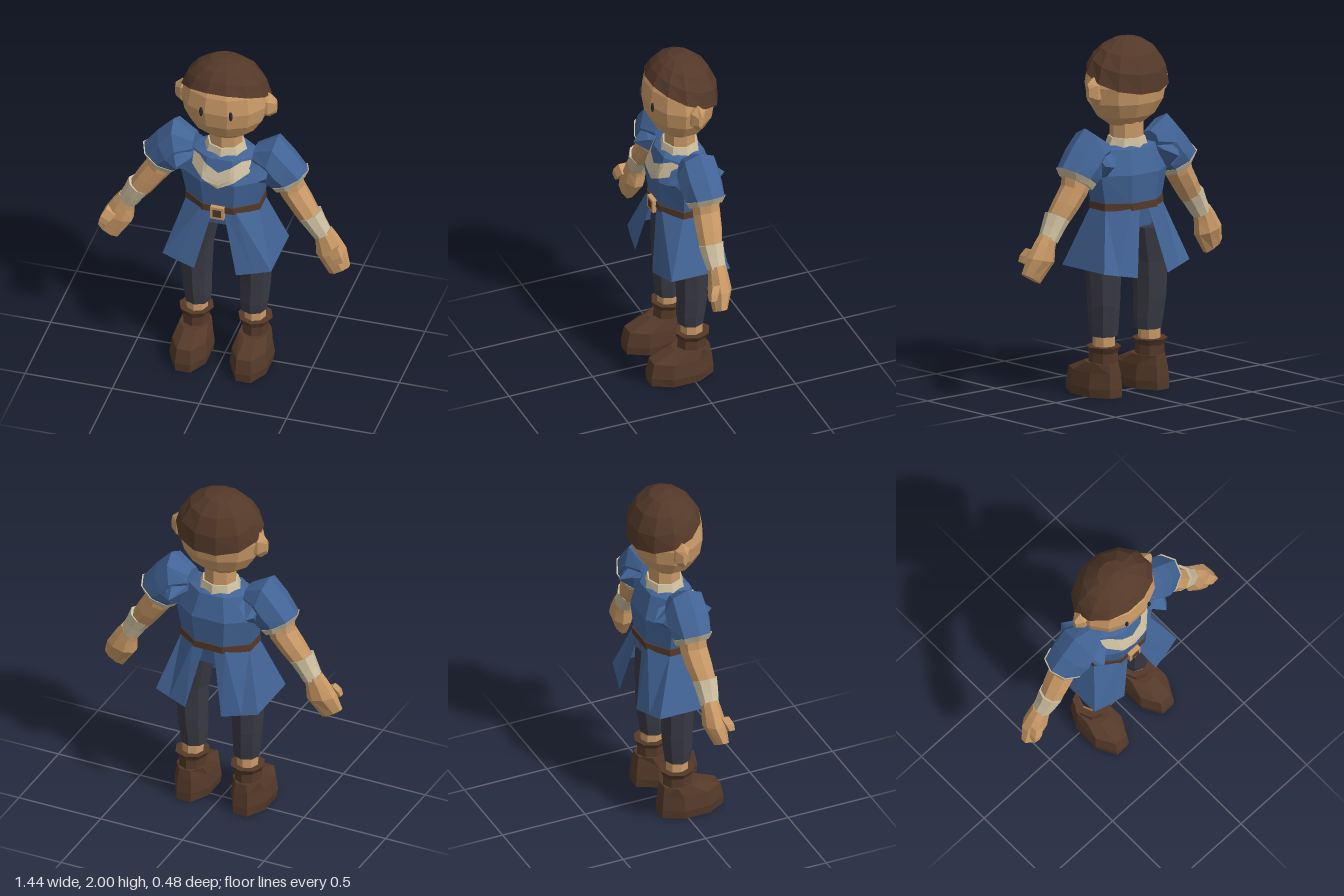
import * as THREE from 'three';

const mat = (name, color, extra = {}) => Object.assign(new THREE.MeshStandardMaterial({ color, ...extra }), { name });

// Faceted surface through rows of points; closed surfaces are wrapped, capped and turned outwards
function surface(rows, closed = true) {
  const tris = [];
  const n = rows[0].length;
  for (let r = 0; r < rows.length - 1; r++) {
    for (let i = 0; i < (closed ? n : n - 1); i++) {
      const j = (i + 1) % n;
      const [a, b, c, d] = [rows[r][i], rows[r][j], rows[r + 1][j], rows[r + 1][i]];
      tris.push([a, b, c], [a, c, d]);
    }
  }
  if (closed) {
    [rows[0], rows[rows.length - 1]].forEach((row, end) => {
      const mid = row.reduce((s, p) => s.add(p), new THREE.Vector3()).divideScalar(n);
      row.forEach((p, i) => {
        const q = row[(i + 1) % n];
        tris.push(end ? [mid, p, q] : [mid, q, p]);
      });
    });
    const o = rows[0][0];
    const volume = tris.reduce((s, [a, b, c]) =>
      s + a.clone().sub(o).dot(b.clone().sub(o).cross(c.clone().sub(o))), 0);
    if (volume < 0) tris.forEach((t) => t.reverse());
  }
  const geo = new THREE.BufferGeometry().setFromPoints(tris.flat());
  geo.computeVertexNormals();
  return geo;
}

// Ring = [outer x, outer y, inner x, inner y, centre z, half depth]; half = flat side to the front
function loft(rings, { n = 8, half = false, side = 1 } = {}) {
  const k = half ? 1 / Math.cos(Math.PI / n) : 1;
  return surface(rings.map(([ax, ay, bx, by, z, d]) =>
    Array.from({ length: n }, (_, i) => {
      const t = ((i + (half ? 0.5 : 0)) / n) * Math.PI * 2;
      const u = (Math.cos(t) * k) / 2;
      return new THREE.Vector3(
        side * ((ax + bx) / 2 + u * (ax - bx)), (ay + by) / 2 + u * (ay - by), z + Math.sin(t) * k * d);
    })));
}

// Level ring from x and z extents
const level = (y, x0, x1, z0, z1) => [x1, y, x0, y, (z0 + z1) / 2, (z1 - z0) / 2];

export function createModel() {
  const model = new THREE.Group();
  model.name = 'tunicFigure';
  const blue = mat('tunicBlue', 0x426496, { side: THREE.DoubleSide });
  const skin = mat('skin', 0xc99966);
  const brown = mat('leatherBrown', 0x543929);
  const cream = mat('creamCloth', 0xcdbf9f, { side: THREE.DoubleSide });
  const dark = mat('trouserGrey', 0x393943);
  const ink = mat('eyeDark', 0x252a35);

  const add = (name, geo, material) => {
    const mesh = new THREE.Mesh(geo, material);
    mesh.name = name;
    model.add(mesh);
    return mesh;
  };
  const pair = (name, rings, material, opts = {}) => {
    add('left' + name, loft(rings, opts), material);
    add('right' + name, loft(rings, { ...opts, side: -1 }), material);
  };

  // Head
  const headRings = [];
  for (let i = 0; i <= 8; i++) {
    const t = 0.03 + (i / 8) * (Math.PI - 0.06);
    const r = Math.sin(t);
    const y = 1.74 + 0.252 * Math.cos(t);
    headRings.push([0.24 * r, y, -0.24 * r, y, -0.01, 0.193 * r]);
  }
  add('head', loft(headRings, { n: 12, half: true }), skin);

  // Cropped hair: a dome whose rim drops towards the back
  const hairRows = [];
  for (let k = 0; k <= 4; k++) {
    hairRows.push(Array.from({ length: 12 }, (_, i) => {
      const az = ((i + 0.5) / 12) * Math.PI * 2;
      const t = (1.38 - 0.325 * Math.cos(az)) * Math.max(k / 4, 0.01);
      const r = Math.sin(t) / Math.cos(Math.PI / 12);
      return new THREE.Vector3(0.25 * r * Math.sin(az), 1.74 + 0.26 * Math.cos(t), -0.015 + 0.206 * r * Math.cos(az));
    }));
  }
  add('hair', surface(hairRows), brown);

  // Ears and eyes
  pair('Ear', [
    [0.22, 1.8, 0.22, 1.64, -0.025, 0.048],
    [0.25, 1.8, 0.25, 1.64, -0.025, 0.048],
    [0.29, 1.765, 0.29, 1.675, -0.025, 0.014],
  ], skin, { n: 6 });
  for (const s of [1, -1]) {
    const eye = add(s > 0 ? 'leftEye' : 'rightEye', new THREE.SphereGeometry(1, 8, 6), ink);
    eye.scale.set(0.011, 0.031, 0.008);
    eye.position.set(s * 0.085, 1.745, 0.179);
  }

  // Neck and collar
  add('neck', loft([level(1.38, -0.095, 0.095, -0.11, 0.07), level(1.53, -0.095, 0.095, -0.11, 0.07)]), skin);
  add('collar', loft([level(1.365, -0.135, 0.135, -0.135, 0.1), level(1.44, -0.105, 0.105, -0.12, 0.08)]), cream);

  // Torso
  const torso = [
    level(1.07, -0.205, 0.205, -0.165, 0.13),
    level(1.25, -0.24, 0.24, -0.18, 0.15),
    level(1.385, -0.17, 0.17, -0.135, 0.105),
    level(1.4, -0.11, 0.11, -0.11, 0.08),
  ];
  add('torso', loft(torso, { half: true }), blue);
  add('hips', loft([level(0.945, -0.16, 0.16, -0.14, 0.1), level(1.08, -0.2, 0.2, -0.16, 0.12)], { half: true }), blue);

  // Chevron laid on the chest
  const chestZ = (x, y) => {
    const [p, q] = y < 1.25 ? [torso[0], torso[1]] : [torso[1], torso[2]];
    const f = (y - p[1]) / (q[1] - p[1]);
    const at = (i) => p[i] + (q[i] - p[i]) * f;
    return at(4) + at(5) - Math.max(0, Math.abs(x) - 0.414 * at(0)) * (at(5) / at(0)) + 0.007;
  };
  const columns = [-0.165, -0.12, -0.09, -0.07, 0, 0.07, 0.09, 0.12, 0.165];
  add('chestChevron', surface([0, 1, 2, 3, 4].map((r) => columns.map((x) => {
    const low = 1.22 + Math.abs(x) * 0.56;
    const high = Math.min(1.378, 1.315 + Math.abs(x) * 0.53);
    const y = low + ((high - low) * r) / 4;
    return new THREE.Vector3(x, y, chestZ(x, y));
  })), false), cream);

  // Belt with square buckle
  add('belt', loft([level(1.05, -0.215, 0.215, -0.175, 0.14), level(1.09, -0.213, 0.213, -0.174, 0.139)], { half: true }), brown);
  add('buckle', new THREE.BoxGeometry(0.078, 0.076, 0.03), skin).position.set(0, 1.053, 0.143);
  add('buckleCentre', new THREE.BoxGeometry(0.046, 0.046, 0.008), brown).position.set(0, 1.053, 0.157);

  // Skirt halves, split at front and back
  const skirtTop = [[0.03, 1.06, 0.132], [0.1, 1.06, 0.13], [0.207, 1.06, 0.045],
    [0.207, 1.06, -0.08], [0.1, 1.06, -0.167], [0.03, 1.06, -0.167]];
  const skirtHem = [[0.12, 0.685, 0.195], [0.22, 0.706, 0.18], [0.312, 0.725, 0.16],
    [0.312, 0.725, -0.19], [0.22, 0.706, -0.212], [0.11, 0.685, -0.24]];
  for (const s of [1, -1]) {
    const rows = [skirtTop, skirtHem].map((row) => row.map(([x, y, z]) => new THREE.Vector3(s * x, y, z)));
    add(s > 0 ? 'leftSkirt' : 'rightSkirt', surface(rows, false), blue);
  }

  // Puffed sleeves, pointed armhole folds and cuffs
  pair('Sleeve', [
    [0.175, 1.44, 0.17, 1.34, -0.015, 0.075],
    [0.3, 1.52, 0.225, 1.24, -0.015, 0.122],
    [0.39, 1.425, 0.235, 1.21, -0.015, 0.125],
    [0.47, 1.32, 0.262, 1.2, -0.02, 0.112],
  ], blue);
  pair('ArmholeFold', [
    [0.29, 1.4, 0.25, 1.24, -0.015, 0.12],
    [0.255, 1.385, 0.215, 1.25, -0.015, 0.15],
    [0.17, 1.37, 0.165, 1.34, -0.015, 0.1],
  ], blue, { n: 6, half: true });
  pair('SleeveCuff', [
    [0.477, 1.325, 0.26, 1.2, -0.02, 0.118],
    [0.455, 1.275, 0.285, 1.172, -0.02, 0.1],
  ], cream);

  // Arms, wrist wraps and hands
  pair('Arm', [
    [0.44, 1.32, 0.27, 1.24, -0.02, 0.08],
    [0.45, 1.22, 0.315, 1.15, -0.018, 0.08],
    [0.5, 1.14, 0.375, 1.07, -0.01, 0.076],
    [0.545, 1.06, 0.43, 1.0, 0, 0.066],
  ], skin);
  pair('WristWrap', [
    [0.552, 1.08, 0.425, 1.01, 0, 0.073],
    [0.58, 1.01, 0.47, 0.955, 0, 0.064],
    [0.61, 0.95, 0.508, 0.9, -0.003, 0.055],
  ], cream);
  pair('Hand', [
    [0.605, 0.965, 0.515, 0.915, -0.005, 0.045],
    [0.64, 0.92, 0.525, 0.87, -0.003, 0.05],
    [0.69, 0.84, 0.53, 0.8, 0, 0.058],
    [0.72, 0.75, 0.61, 0.685, 0.02, 0.034],
  ], skin, { half: true });
  pair('Thumb', [
    [0.665, 0.885, 0.61, 0.85, 0.042, 0.022],
    [0.69, 0.845, 0.64, 0.815, 0.062, 0.022],
    [0.7, 0.81, 0.66, 0.79, 0.07, 0.016],
  ], skin, { n: 4, half: true });

  // Trousers, ankles and boots
  pair('TrouserLeg', [
    level(0.335, 0.085, 0.235, -0.09, 0.06),
    level(0.4, 0.08, 0.245, -0.1, 0.07),
    level(0.515, 0.08, 0.257, -0.115, 0.072),
    level(0.72, 0.07, 0.27, -0.12, 0.082),
    level(0.92, 0.035, 0.235, -0.13, 0.095),
  ], dark);
  pair('Ankle', [level(0.24, 0.105, 0.228, -0.085, 0.045), level(0.36, 0.105, 0.228, -0.085, 0.045)], skin);
  pair('BootShaft', [
    level(0.15, 0.092, 0.248, -0.108, 0.07),
    level(0.245, 0.095, 0.245, -0.105, 0.065),
    level(0.28, 0.07, 0.268, -0.122, 0.078),
  ], brown);
  pair('BootFoot', [
    level(0, 0.073, 0.273, -0.13, 0.238),
    level(0.05, 0.065, 0.28, -0.13, 0.24),
    level(0.135, 0.075, 0.268, -0.122, 0.222),
    level(0.19, 0.09, 0.252, -0.112, 0.095),
  ], brown, { half: true });

  return model;
}
